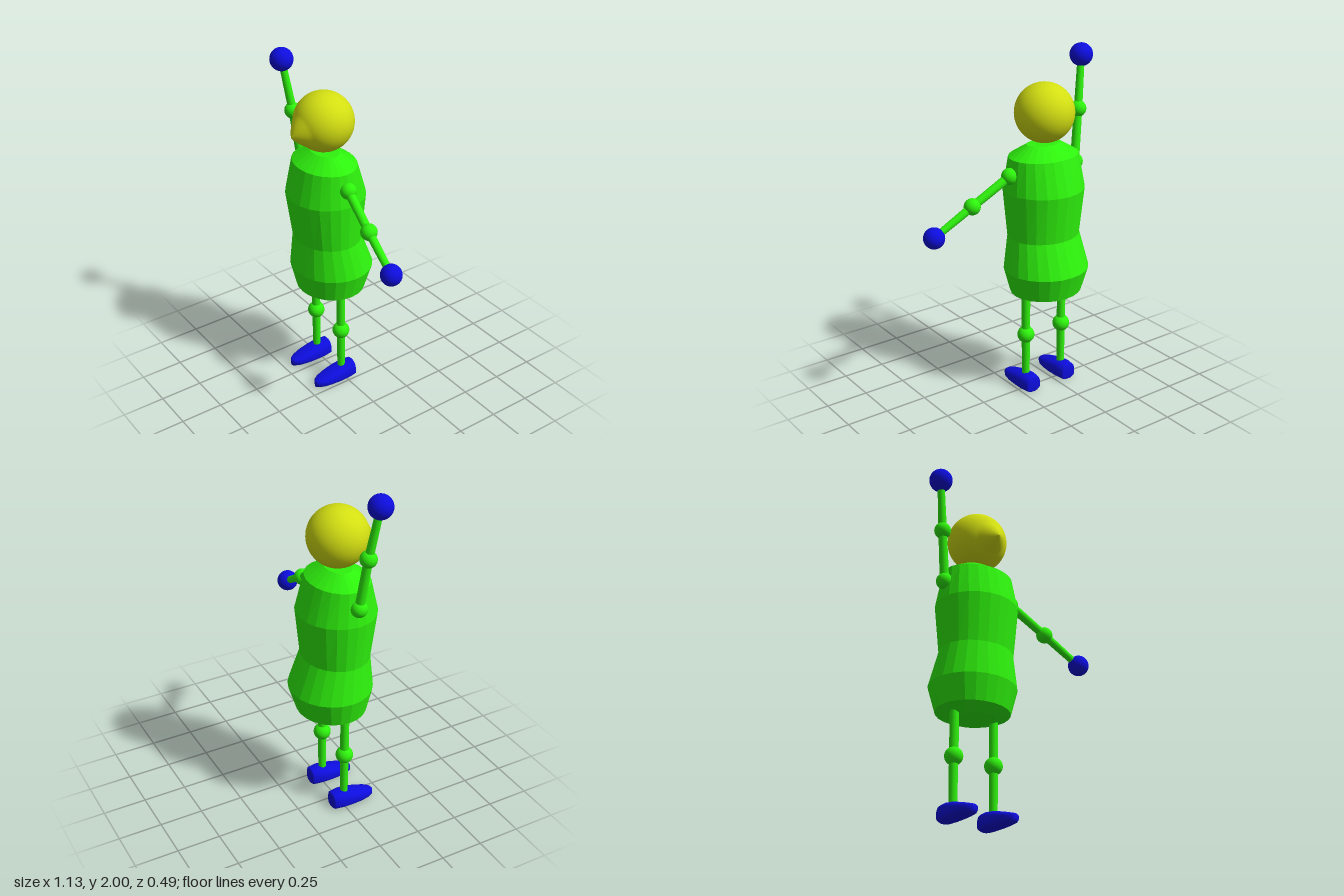
import * as THREE from 'three';

const green = new THREE.MeshStandardMaterial({ color: 0x2ef20d });
const greenFlat = new THREE.MeshStandardMaterial({ color: 0x2ef20d, flatShading: true });
const blue = new THREE.MeshStandardMaterial({ color: 0x0d0dde });
const yellow = new THREE.MeshStandardMaterial({ color: 0xd3df12 });

// Skin through equal-sized closed rings of points, capped at both ends
function loft(rings) {
  const n = rings[0].length;
  const pos = rings.flat(2);
  const index = [];
  const cap = (ring) => {
    const c = [0, 1, 2].map((k) => ring.reduce((s, p) => s + p[k], 0) / n);
    pos.push(...c);
    return pos.length / 3 - 1;
  };
  const start = cap(rings[0]);
  const end = cap(rings[rings.length - 1]);
  const last = (rings.length - 1) * n;
  for (let j = 0; j < n; j++) {
    const k = (j + 1) % n;
    for (let i = 0; i < last; i += n) {
      index.push(i + j, i + k, i + n + k, i + j, i + n + k, i + n + j);
    }
    index.push(start, k, j, end, last + j, last + k);
  }
  const g = new THREE.BufferGeometry();
  g.setAttribute('position', new THREE.Float32BufferAttribute(pos, 3));
  g.setIndex(index);
  g.computeVertexNormals();
  return g;
}

const ringAngles = (n) => Array.from({ length: n }, (_, i) => (i / n) * Math.PI * 2);

export function createModel() {
  const model = new THREE.Group();
  model.name = 'figure';

  const add = (parent, name, geometry, material) => {
    const mesh = new THREE.Mesh(geometry, material);
    mesh.name = name;
    parent.add(mesh);
    return mesh;
  };
  const ball = (parent, name, p, r, material) =>
    add(parent, name, new THREE.SphereGeometry(r, 32, 20), material).position.set(...p);
  const rod = (parent, name, from, to, r0, r1) => {
    const a = new THREE.Vector3(...from);
    const b = new THREE.Vector3(...to);
    const d = b.clone().sub(a);
    const m = add(parent, name, new THREE.CylinderGeometry(r1, r0, d.length(), 20), green);
    m.position.copy(a).add(b).multiplyScalar(0.5);
    m.quaternion.setFromUnitVectors(new THREE.Vector3(0, 1, 0), d.normalize());
  };

  // Faceted torso: height, centre x, centre z, half width, half depth
  const torso = [
    [0.582, -0.19, 0.005, 0.11, 0.115],
    [0.62, -0.192, -0.005, 0.212, 0.195],
    [0.765, -0.19, -0.01, 0.25, 0.235],
    [0.96, -0.19, 0.018, 0.215, 0.188],
    [1.235, -0.193, 0.022, 0.238, 0.222],
    [1.428, -0.193, 0.027, 0.212, 0.168],
    [1.492, -0.193, 0.027, 0.106, 0.07],
  ].map(([y, cx, cz, rx, rz]) =>
    ringAngles(24).map((a) => [cx + rx * Math.sin(a), y, cz + rz * Math.cos(a)]));
  add(model, 'torso', loft(torso), greenFlat);

  // Head: a sphere whose profile is drawn out to a pointed nose at one pole
  const profile = [];
  for (let i = 0; i <= 60; i++) {
    const a = Math.PI * (1 - i / 60);
    const r = 0.169 + 0.046 * Math.pow(Math.max(0, 1 - a / 0.62), 1.5);
    profile.push(new THREE.Vector2(Math.max(0, r * Math.sin(a)), r * Math.cos(a)));
  }
  const head = add(model, 'head', new THREE.LatheGeometry(profile, 48), yellow);
  head.position.set(-0.197, 1.665, 0.026);
  head.quaternion.setFromUnitVectors(
    new THREE.Vector3(0, 1, 0), new THREE.Vector3(0, -0.043, 0.208).normalize());

  // Arms: one lowered to the side, one raised
  const arms = [
    ['leftArm', [0.038, 1.34, 0.03], [0.267, 1.204, 0.06], [0.5, 1.066, 0.086], 0.06],
    ['rightArm', [-0.42, 1.34, 0.03], [-0.458, 1.638, 0.055], [-0.502, 1.935, 0.09], 0.066],
  ];
  for (const [name, shoulder, elbow, hand, handRadius] of arms) {
    const arm = new THREE.Group();
    arm.name = name;
    model.add(arm);
    ball(arm, 'shoulder', shoulder, 0.047, green);
    rod(arm, 'upperArm', shoulder, elbow, 0.026, 0.024);
    ball(arm, 'elbow', elbow, 0.047, green);
    rod(arm, 'forearm', elbow, hand, 0.024, 0.02);
    ball(arm, 'hand', hand, handRadius, blue);
  }

  // Foot sections from heel to toe: z, half width, top height
  const signedPow = (v, e) => Math.sign(v) * Math.pow(Math.abs(v), e);
  const footRings = [
    [-0.07, 0.036, 0.085],
    [-0.064, 0.05, 0.099],
    [-0.01, 0.06, 0.1],
    [0.05, 0.061, 0.09],
    [0.11, 0.057, 0.073],
    [0.16, 0.046, 0.058],
    [0.19, 0.028, 0.048],
    [0.2, 0.01, 0.04],
  ].map(([z, w, top]) => ringAngles(28).map((a) => {
    const s = signedPow(Math.sin(a), 0.75);
    return [w * signedPow(Math.cos(a), 0.75), 0.03 + s * (s > 0 ? top - 0.03 : 0.028), z];
  }));
  const footGeometry = loft(footRings);

  // Legs
  for (const [name, x] of [['leftLeg', -0.063], ['rightLeg', -0.323]]) {
    const leg = new THREE.Group();
    leg.name = name;
    leg.position.set(x, 0, 0.012);
    model.add(leg);
    rod(leg, 'thigh', [0, 0.66, 0], [0, 0.347, 0], 0.025, 0.025);
    ball(leg, 'knee', [0, 0.347, 0], 0.05, green);
    rod(leg, 'shin', [0, 0.347, 0], [0, 0.05, 0], 0.025, 0.022);
    add(leg, 'foot', footGeometry, blue).position.z = -0.012;
  }

  return model;
}
